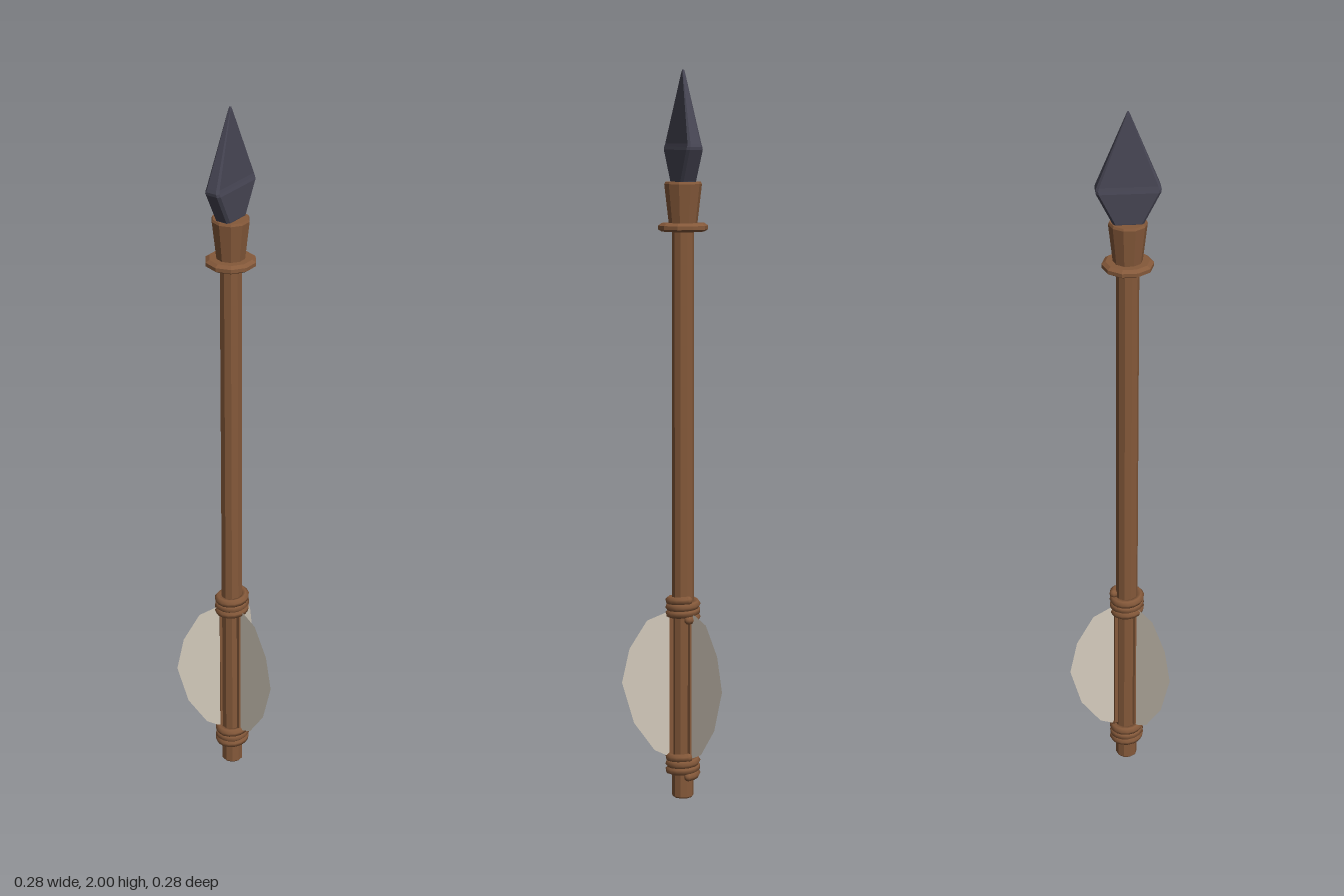
import * as THREE from 'three';

const wood = new THREE.MeshStandardMaterial({ color: 0x85593a });
wood.name = 'brown wood';
const stone = new THREE.MeshStandardMaterial({ color: 0x464553 });
stone.name = 'dark stone';
const vane = new THREE.MeshStandardMaterial({ color: 0xd6cdbe, side: THREE.DoubleSide });
vane.name = 'pale feather';

// Closed loft through [y, halfWidth, halfDepth] sections, each a chamfered rectangle
function loftBlade(sections) {
  const rings = sections.map(([y, w, d]) => {
    const c = Math.min(w, d) * 0.3;
    return [[w, -d + c], [w, d - c], [w - c, d], [-w + c, d],
      [-w, d - c], [-w, -d + c], [-w + c, -d], [w - c, -d]].map(([x, z]) => [x, y, z]);
  });
  const pos = [], n = 8;
  for (let i = 0; i < rings.length - 1; i++) {
    for (let j = 0; j < n; j++) {
      const k = (j + 1) % n;
      const a = rings[i][j], b = rings[i][k], c = rings[i + 1][k], d = rings[i + 1][j];
      pos.push(...a, ...c, ...b, ...a, ...d, ...c);
    }
  }
  const first = rings[0], last = rings[rings.length - 1];
  for (let j = 1; j < n - 1; j++) {
    pos.push(...first[0], ...first[j], ...first[j + 1]);
    pos.push(...last[0], ...last[j + 1], ...last[j]);
  }
  const g = new THREE.BufferGeometry();
  g.setAttribute('position', new THREE.Float32BufferAttribute(pos, 3));
  g.computeVertexNormals();
  return g;
}

// Faceted lathe with vertices on the x axis
function facetedLathe(points, sides) {
  const profile = points.map(([r, y]) => new THREE.Vector2(r, y));
  const g = new THREE.LatheGeometry(profile, sides, Math.PI / 2).toNonIndexed();
  g.computeVertexNormals();
  return g;
}

// Cord wound around the shaft
class Coil extends THREE.Curve {
  constructor(radius, height, turns) {
    super();
    Object.assign(this, { radius, height, turns });
  }
  getPoint(t, target = new THREE.Vector3()) {
    const a = -t * this.turns * Math.PI * 2;
    return target.set(Math.cos(a) * this.radius, t * this.height, Math.sin(a) * this.radius);
  }
}

export function createModel() {
  const model = new THREE.Group();
  model.name = 'arrow';
  const arrow = new THREE.Group();
  arrow.name = 'arrowBody';
  arrow.position.set(-0.03, 0, -0.033);
  model.add(arrow);

  const add = (name, geometry, material, parent = arrow) => {
    const mesh = new THREE.Mesh(geometry, material);
    mesh.name = name;
    parent.add(mesh);
    return mesh;
  };

  // Shaft
  add('shaft', facetedLathe([[0, 0], [0.027, 0], [0.03, 0.004], [0.03, 1.62], [0, 1.62]], 10), wood);

  // Flared socket and the flange below it
  add('socket', facetedLathe([[0, 1.585], [0.038, 1.585], [0.051, 1.697], [0.048, 1.703], [0, 1.703]], 10), wood);
  add('flange', facetedLathe([[0, 1.57], [0.058, 1.57], [0.068, 1.576], [0.068, 1.586],
    [0.058, 1.593], [0, 1.593]], 10), wood);

  // Spear-shaped head
  add('head', loftBlade([[1.69, 0.037, 0.02], [1.705, 0.041, 0.023], [1.788, 0.083, 0.024],
    [1.796, 0.084, 0.022], [1.805, 0.081, 0.02], [1.99, 0.006, 0.004], [2.0, 0.002, 0.002]]), stone);

  // Cord bindings above and below the feathers
  for (const [name, y] of [['lowerBinding', 0.064], ['upperBinding', 0.508]]) {
    const turns = 3;
    const cord = add(name, new THREE.TubeGeometry(new Coil(0.037, 0.055, turns), 48, 0.012, 6), wood);
    cord.position.y = y;
    // Rounded cord ends
    for (const t of [0, 1]) {
      const end = add('cordEnd', new THREE.SphereGeometry(0.012, 8, 6), wood, cord);
      end.position.copy(new Coil(0.037, 0.055, turns).getPoint(t));
    }
  }

  // Three feathers with wooden quills
  const outline = [[0.02, 0.115], [0.045, 0.118], [0.08, 0.135], [0.137, 0.215], [0.17, 0.33],
    [0.149, 0.425], [0.1, 0.503], [0.045, 0.525], [0.02, 0.525]];
  const vaneShape = new THREE.Shape(outline.map(([x, y]) => new THREE.Vector2(x, y)));
  for (const [angle, scale] of [[345, 1], [105, 1], [225, 0.93]]) {
    const feather = new THREE.Group();
    feather.name = 'feather';
    feather.rotation.y = -THREE.MathUtils.degToRad(angle);
    feather.scale.x = scale;
    arrow.add(feather);
    add('vane', new THREE.ShapeGeometry(vaneShape), vane, feather);
    const quill = add('quill', new THREE.BoxGeometry(0.014, 0.4, 0.012), wood, feather);
    quill.position.set(0.031, 0.32, 0);
  }
  return model;
}
